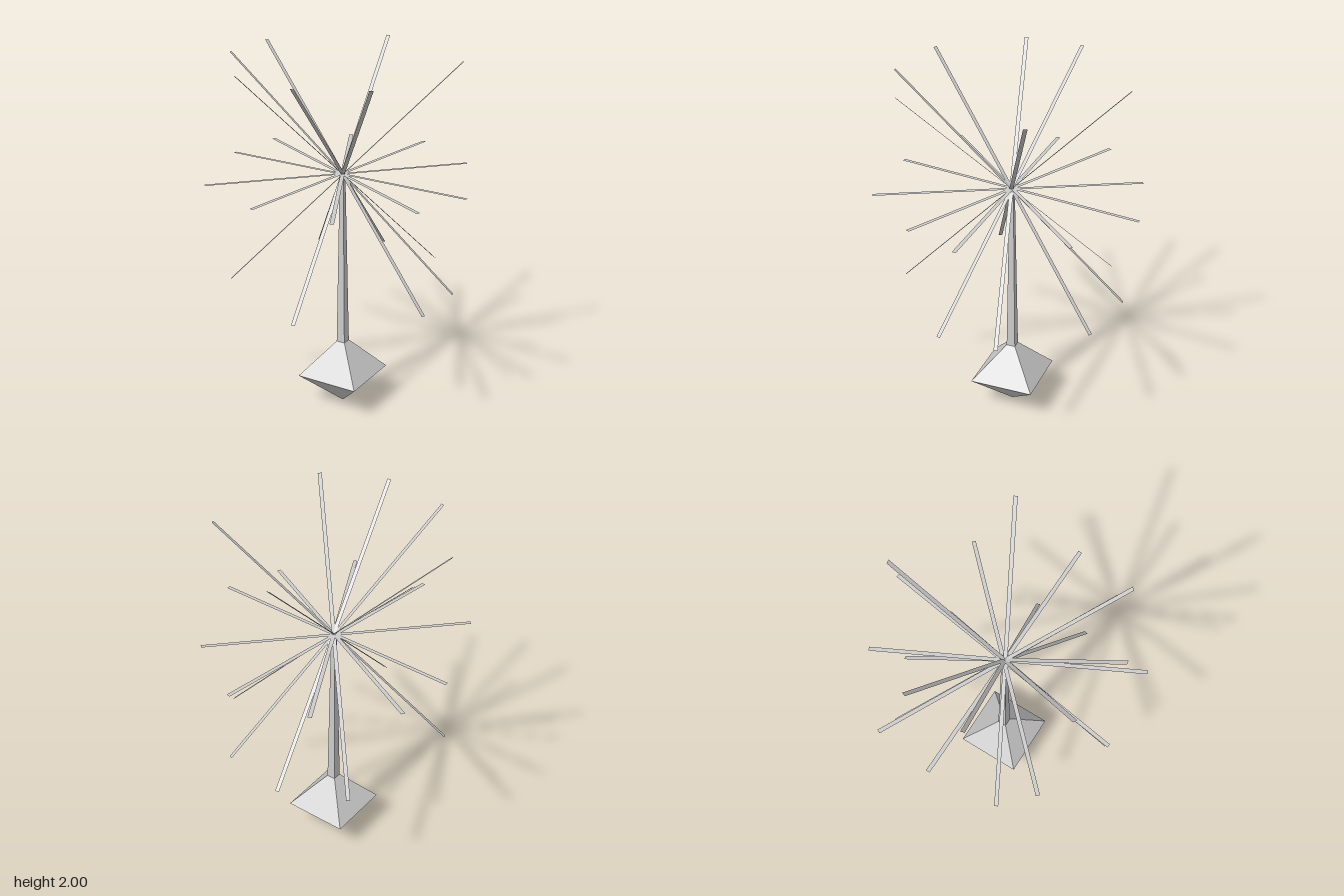
import * as THREE from 'three';

const CX = -0.018, CZ = 0.018; // stem axis
const HUB_Y = 1.375, RISE = 0.625, STRIP_WIDTH = 0.022;

export function createModel() {
  const model = new THREE.Group();
  const solid = new THREE.MeshStandardMaterial({ color: 0xcccccc, flatShading: true });
  const thin = new THREE.MeshStandardMaterial({ color: 0xcccccc, side: THREE.DoubleSide });

  // Square solid of revolution from [half width, y] pairs, bottom to top
  const squareLathe = (name, profile) => {
    const points = profile.map(([half, y]) => new THREE.Vector2(half * Math.SQRT2, y));
    const mesh = new THREE.Mesh(new THREE.LatheGeometry(points, 4, Math.PI / 4), solid);
    mesh.name = name;
    mesh.position.set(CX, 0, CZ);
    model.add(mesh);
  };

  // Diamond-shaped base and tapered stem
  squareLathe('base', [[0, 0], [0.182, 0.188], [0.025, 0.38], [0, 0.38]]);
  squareLathe('stem', [[0.025, 0.375], [0.011, HUB_Y], [0, HUB_Y]]);

  // Flat strip between two points, its width lying horizontally
  const burst = new THREE.Group();
  burst.name = 'burst';
  model.add(burst);
  const up = new THREE.Vector3(0, 1, 0);
  const addStrip = (name, a, b) => {
    const dir = b.clone().sub(a);
    const length = dir.length();
    dir.normalize();
    const side = dir.clone().cross(up).normalize();
    const normal = side.clone().cross(dir);
    const strip = new THREE.Mesh(new THREE.PlaneGeometry(STRIP_WIDTH, length), thin);
    strip.name = name;
    strip.quaternion.setFromRotationMatrix(new THREE.Matrix4().makeBasis(side, dir, normal));
    strip.position.copy(a).add(b).multiplyScalar(0.5);
    burst.add(strip);
  };

  // Level strips: x, z of both ends
  const level = [
    [0.09, -0.72, -0.13, 0.712],
    [0.475, -0.487, -0.542, 0.545],
    [0.725, 0.031, -0.73, 0.01],
    [0.61, 0.337, -0.688, -0.318],
    [0.32, 0.68, -0.34, -0.615],
  ];
  level.forEach(([x1, z1, x2, z2], i) => addStrip('levelStrip' + (i + 1),
    new THREE.Vector3(x1, HUB_Y, z1), new THREE.Vector3(x2, HUB_Y, z2)));

  // Sloping strips: x, z of the upper end, then of the lower end
  const sloping = [
    [-0.302, 0.578, 0.268, -0.537],
    [0.538, -0.268, -0.566, 0.31],
    [-0.62, 0.169, 0.588, -0.128],
    [-0.612, -0.16, 0.582, 0.2],
    [0.415, 0.47, -0.447, -0.433],
    [-0.09, -0.6, 0.058, 0.64],
    [0.075, 0.637, -0.105, -0.6],
  ];
  sloping.forEach(([x1, z1, x2, z2], i) => addStrip('slopingStrip' + (i + 1),
    new THREE.Vector3(x2, HUB_Y - RISE, z2), new THREE.Vector3(x1, HUB_Y + RISE, z1)));

  return model;
}
